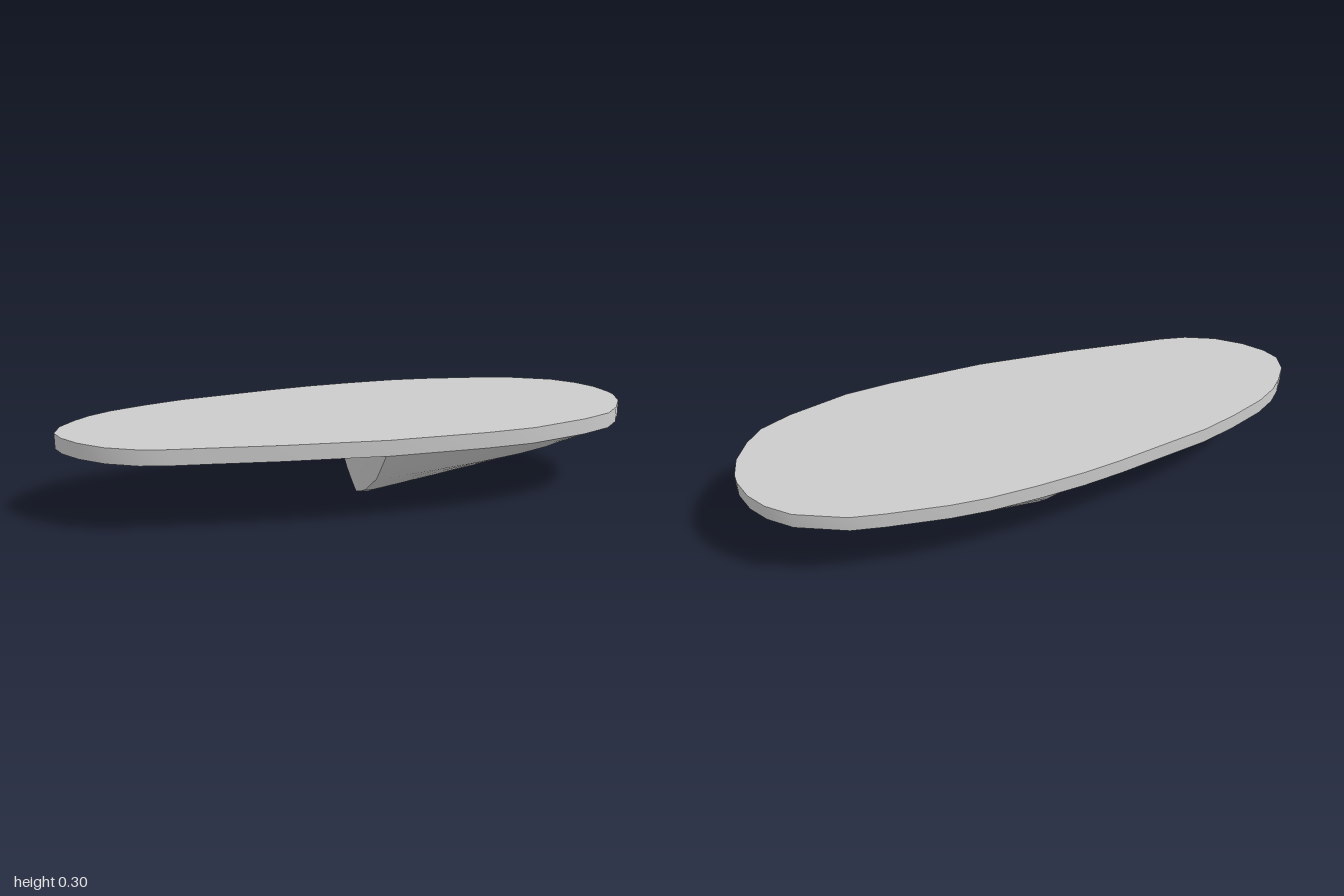
import * as THREE from 'three';
import { toCreasedNormals } from 'three/addons/utils/BufferGeometryUtils.js';

const TOP = 0.304, DECK = 0.25;

// Deck outline as [x, z], both edges running from x = -1 to x = 1
const BACK = [[-1, 0], [-0.98, -0.07], [-0.93, -0.13], [-0.88, -0.175], [-0.8, -0.22], [-0.67, -0.265],
  [-0.54, -0.3], [-0.2, -0.35], [-0.06, -0.365], [0.1, -0.372], [0.27, -0.372], [0.4, -0.36],
  [0.6, -0.325], [0.71, -0.3], [0.87, -0.22], [0.94, -0.15], [0.98, -0.08], [1, 0]];
const FRONT = [[-1, 0], [-0.98, 0.06], [-0.93, 0.13], [-0.85, 0.2], [-0.75, 0.25], [-0.66, 0.272],
  [-0.53, 0.29], [-0.3, 0.325], [0.04, 0.362], [0.38, 0.365], [0.55, 0.355], [0.76, 0.305],
  [0.87, 0.26], [0.93, 0.2], [0.98, 0.12], [1, 0.04]];

// Keel depth below the deck along x, and half section as [width, depth] fractions
const KEEL = [[0.03, 0.248], [0.06, 0.25], [0.4, 0.185], [0.65, 0.13], [1, 0]];
const SECTION = [[1, 0], [0.85, 0.235], [0.7, 0.465], [0.52, 0.63], [0.34, 0.8], [0.17, 0.91], [0, 1]];

// Linear interpolation along a list of [x, value]
function sample(list, x) {
  for (let i = 1; i < list.length; i++) {
    const [x0, v0] = list[i - 1], [x1, v1] = list[i];
    if (x <= x1) return v0 + (v1 - v0) * (x - x0) / (x1 - x0);
  }
  return list[list.length - 1][1];
}

// Smooth surface through equal-length rows of points
function surface(rows) {
  const n = rows[0].length, index = [];
  for (let r = 0; r < rows.length - 1; r++) {
    for (let c = 0; c < n - 1; c++) {
      const a = r * n + c, b = a + n;
      index.push(a, a + 1, b, a + 1, b + 1, b);
    }
  }
  const geometry = new THREE.BufferGeometry();
  geometry.setAttribute('position', new THREE.Float32BufferAttribute(rows.flat(2), 3));
  geometry.setIndex(index);
  geometry.computeVertexNormals();
  return geometry;
}

export function createModel() {
  const group = new THREE.Group();
  const material = new THREE.MeshStandardMaterial({ color: 0xcccccc, side: THREE.DoubleSide });
  const add = (name, geometry) => {
    const mesh = new THREE.Mesh(geometry, material);
    mesh.name = name;
    group.add(mesh);
  };

  // Thin flat deck
  const outline = [...FRONT, ...BACK.slice(1).reverse()].map(([x, z]) => new THREE.Vector2(x, z));
  const deck = new THREE.ExtrudeGeometry(new THREE.Shape(outline), { depth: TOP - DECK, bevelEnabled: false });
  deck.rotateX(Math.PI / 2).translate(0, TOP, 0);
  add('deck', toCreasedNormals(deck, 0.7));

  // Hull lofted under the +x half, from front edge over the keel to back edge
  const stations = [0.03, 0.06, 0.15, 0.27, 0.4, 0.55, 0.65, 0.71, 0.76, 0.82, 0.87, 0.91, 0.94, 0.96, 0.98, 0.99, 1];
  add('hull', surface(stations.map((x) => {
    const depth = sample(KEEL, x);
    const half = (edge) => SECTION.map(([w, d]) => [x, DECK - depth * d, sample(edge, x) * w]);
    return [...half(FRONT), ...half(BACK).reverse().slice(1)];
  })));

  // Slightly bulging end wall closing the hull
  const x0 = stations[0], depth = sample(KEEL, x0);
  add('hullEndWall', surface(SECTION.map(([w, d]) => {
    const row = [];
    for (let i = 0; i <= 12; i++) {
      const s = 1 - i / 6;
      const edge = s > 0 ? sample(FRONT, x0) : -sample(BACK, x0);
      row.push([x0 - 0.03 * (1 - s * s) * (1 - d), DECK - depth * d, edge * w * s]);
    }
    return row;
  })));

  return group;
}
